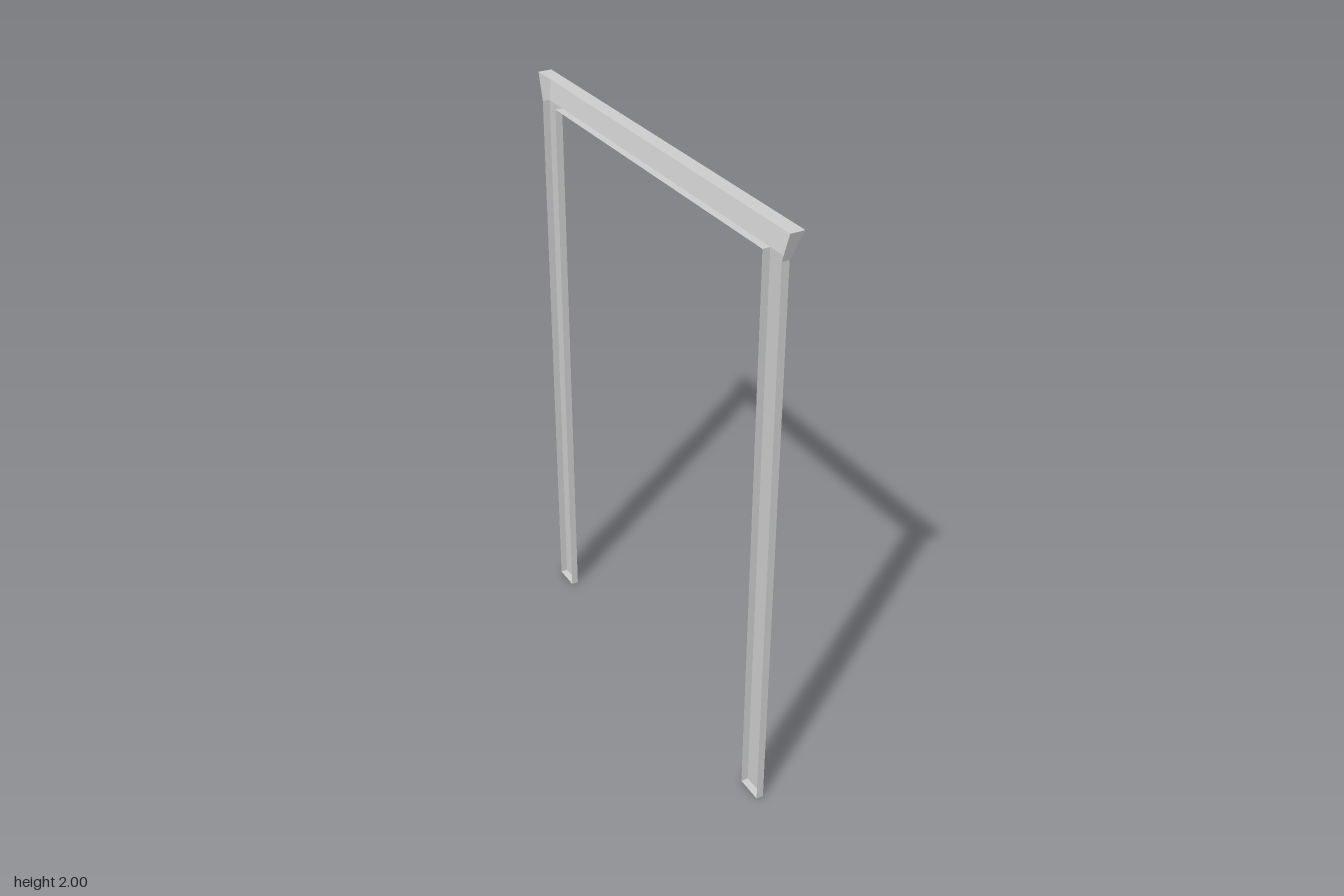
import * as THREE from 'three';

// Key dimensions of the door surround
const OUTER = 0.705, INNER = 0.613, FLARE = 0.734, LINTEL = 1.91, TOP = 2;
const BACK = -0.0245, FACE = 0, CROWN = 0.0245, TOP_BACK = -0.0225;

const material = new THREE.MeshStandardMaterial({
  color: 0xcccccc, flatShading: true, side: THREE.DoubleSide,
});

// Mesh from flat four-cornered panels, corners counter-clockwise from outside
function panels(name, quads) {
  const points = quads.flatMap(([a, b, c, d]) => [a, b, c, a, c, d])
    .map((p) => new THREE.Vector3(...p));
  const geometry = new THREE.BufferGeometry().setFromPoints(points);
  geometry.computeVertexNormals();
  const mesh = new THREE.Mesh(geometry, material);
  mesh.name = name;
  return mesh;
}

// Front and back points of one outline corner
const front = ([z, y]) => [y === TOP ? CROWN : FACE, y, z];
const back = ([z, y]) => [y === TOP ? TOP_BACK : BACK, y, z];

// Thin return wall running from the face to the open back
const wall = (a, b) => [back(a), front(a), front(b), back(b)];

// Post: hollow channel with a face, two sides and a foot
function post(name, zHigh, zLow) {
  const a = [zHigh, 0], b = [zHigh, LINTEL], c = [zLow, LINTEL], d = [zLow, 0];
  return panels(name, [
    [a, d, c, b].map(front),
    wall(a, b), wall(c, d), wall(d, a),
  ]);
}

// Header: face leaning outward, flared ends, top cap and underside lip
function header() {
  const a = [OUTER, LINTEL], b = [FLARE, TOP], c = [-FLARE, TOP], d = [-OUTER, LINTEL];
  return panels('header', [
    [a, d, c, b].map(front),
    wall(a, b), wall(b, c), wall(c, d),
    wall([-INNER, LINTEL], [INNER, LINTEL]),
  ]);
}

export function createModel() {
  const group = new THREE.Group();
  group.name = 'doorSurround';
  group.add(
    post('frontPost', OUTER, INNER),
    post('backPost', -INNER, -OUTER),
    header(),
  );
  return group;
}
